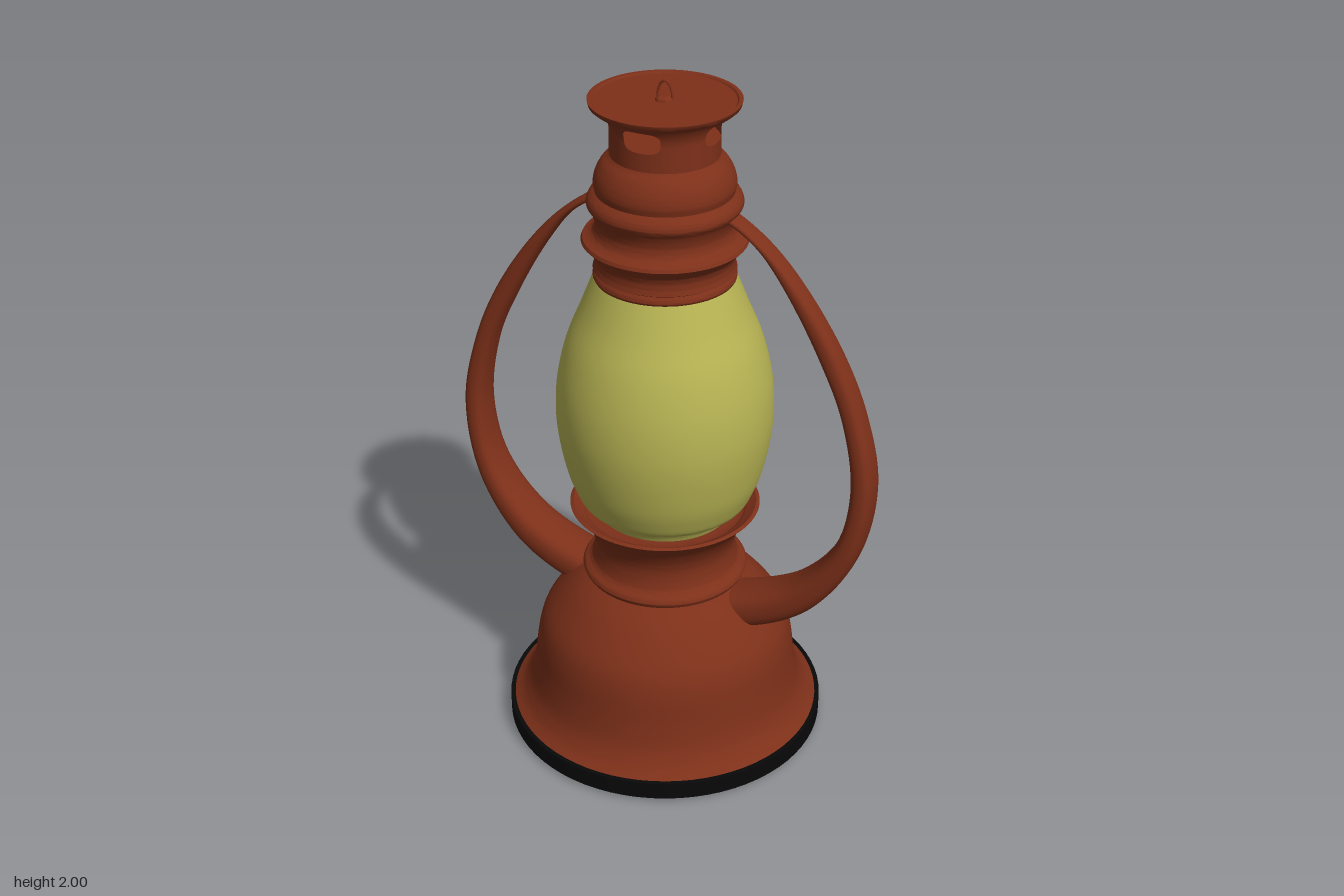
import * as THREE from 'three';
import { toCreasedNormals } from 'three/addons/utils/BufferGeometryUtils.js';
import { ParametricGeometry } from 'three/addons/geometries/ParametricGeometry.js';

const paint = (color) => new THREE.MeshStandardMaterial({ color, side: THREE.DoubleSide });

// Turned part: each run of [radius, y] points is a smooth curve, runs meet at sharp corners
function turned(name, material, ...runs) {
  const points = [];
  for (const run of runs) {
    const v = run.map(([r, y]) => new THREE.Vector2(r, y));
    const smooth = v.length > 2 ? new THREE.SplineCurve(v).getPoints((v.length - 1) * 5) : v;
    for (const p of smooth) {
      p.x = Math.max(p.x, 0);
      if (!points.length || points[points.length - 1].distanceTo(p) > 1e-5) points.push(p);
    }
  }
  const mesh = new THREE.Mesh(toCreasedNormals(new THREE.LatheGeometry(points, 72), 0.7), material);
  mesh.name = name;
  return mesh;
}

// Quarter of the vent neck: rings spread from a rounded hole out to the panel border
function ventPanel() {
  return new ParametricGeometry((u, v, target) => {
    const phi = v * Math.PI * 2;
    const c = Math.cos(phi), s = Math.sin(phi);
    const k = 1 / Math.max(Math.abs(c), Math.abs(s));
    const round = Math.pow(Math.abs(c) ** 3 + Math.abs(s) ** 3, -1 / 3);
    const angle = THREE.MathUtils.lerp(c * round * 0.36, c * k * Math.PI / 4, u);
    const y = 1.88 + THREE.MathUtils.lerp(s * round * 0.03, s * k * (s > 0 ? 0.042 : 0.085), u);
    const flare = Math.max(0, (y - 1.87) / 0.052);
    const r = 0.147 + 0.02 * flare * flare;
    target.set(Math.sin(angle) * r, y, Math.cos(angle) * r);
  }, 8, 64);
}

// Side handle: rounded section between an outer and an inner edge curve;
// the third value of each outer point is the half width
function handleGeometry() {
  const curve = (pts) => new THREE.CatmullRomCurve3(pts.map((p) => new THREE.Vector3(...p)));
  const outer = curve([
    [0.15, 1.675, 0.032], [0.21, 1.652, 0.03], [0.31, 1.58, 0.031], [0.41, 1.47, 0.034],
    [0.52, 1.3, 0.038], [0.59, 1.13, 0.045], [0.63, 0.92, 0.053], [0.587, 0.68, 0.062],
    [0.465, 0.495, 0.072], [0.32, 0.405, 0.078], [0.2, 0.38, 0.08],
  ]);
  const inner = curve([
    [0.15, 1.645, 0], [0.2, 1.632, 0], [0.275, 1.58, 0], [0.355, 1.475, 0],
    [0.455, 1.3, 0], [0.53, 1.13, 0], [0.566, 0.92, 0], [0.53, 0.73, 0],
    [0.41, 0.58, 0], [0.24, 0.498, 0], [0.14, 0.48, 0],
  ]);
  const soften = (x) => Math.sign(x) * Math.abs(x) ** 0.75;
  return new ParametricGeometry((u, v, target) => {
    const a = outer.getPoint(v), b = inner.getPoint(v);
    const c = soften(Math.cos(u * Math.PI * 2)), s = soften(Math.sin(u * Math.PI * 2));
    target.set((a.x + b.x + (a.x - b.x) * c) / 2, (a.y + b.y + (a.y - b.y) * c) / 2, a.z * s);
  }, 28, 80);
}

export function createModel() {
  const model = new THREE.Group();
  const rust = paint(0x7d3019), glass = paint(0xb8b454), black = paint(0x080808);

  // Foot and fuel tank
  model.add(turned('foot', black,
    [[0, 0], [0.3, 0]], [[0.3, 0], [0.3, 0.01]], [[0.3, 0.01], [0.465, 0.01]],
    [[0.465, 0.01], [0.465, 0.062]], [[0.465, 0.062], [0.42, 0.062]]));
  model.add(turned('tank', rust,
    [[0.452, 0.062], [0.425, 0.085], [0.4, 0.13], [0.385, 0.2], [0.373, 0.29], [0.352, 0.355],
      [0.305, 0.42], [0.255, 0.47], [0.2, 0.505]]));

  // Burner collar with a dished rim
  model.add(turned('burnerCollar', rust,
    [[0.2, 0.5], [0.232, 0.508]],
    [[0.232, 0.508], [0.238, 0.522], [0.23, 0.535], [0.213, 0.548], [0.203, 0.59], [0.207, 0.63],
      [0.228, 0.675], [0.255, 0.71], [0.272, 0.728]],
    [[0.272, 0.728], [0.262, 0.732]],
    [[0.262, 0.732], [0.235, 0.715], [0.2, 0.705], [0, 0.705]]));

  model.add(turned('globe', glass,
    [[0.19, 0.705], [0.205, 0.732], [0.237, 0.752], [0.257, 0.79], [0.278, 0.85], [0.298, 0.95],
      [0.305, 1.04], [0.298, 1.14], [0.272, 1.25], [0.232, 1.35], [0.195, 1.445]]));

  // Ribbed chimney
  model.add(turned('chimney', rust,
    [[0.17, 1.44], [0.19, 1.44]],
    [[0.19, 1.44], [0.196, 1.453], [0.187, 1.468]],
    [[0.187, 1.468], [0.195, 1.473]],
    [[0.195, 1.473], [0.19, 1.495], [0.195, 1.52], [0.212, 1.54], [0.226, 1.555]],
    [[0.226, 1.555], [0.222, 1.564]],
    [[0.222, 1.564], [0.197, 1.577], [0.188, 1.605], [0.197, 1.638], [0.21, 1.66], [0.204, 1.682],
      [0.187, 1.697]],
    [[0.187, 1.697], [0.191, 1.72], [0.184, 1.75], [0.168, 1.778], [0.15, 1.795]],
    [[0.15, 1.795], [0.147, 1.8]]));

  // Vent neck with four openings
  const vents = new THREE.Group();
  vents.name = 'ventNeck';
  const panel = ventPanel();
  for (let i = 0; i < 4; i++) {
    const mesh = new THREE.Mesh(panel, rust);
    mesh.name = 'ventPanel';
    mesh.rotation.y = i * Math.PI / 2;
    vents.add(mesh);
  }
  vents.add(turned('ventFloor', rust, [[0.146, 1.842], [0, 1.842]]));
  model.add(vents);

  // Cap: flared lip and flat lid
  model.add(turned('cap', rust,
    [[0, 1.918], [0.15, 1.918]],
    [[0.166, 1.92], [0.185, 1.926], [0.2, 1.938]],
    [[0.2, 1.938], [0.203, 1.95]], [[0.203, 1.95], [0.192, 1.95]],
    [[0.192, 1.95], [0.188, 1.945]], [[0.188, 1.945], [0, 1.945]]));

  // Hanging loop on its button
  model.add(turned('loopButton', rust, [[0.026, 1.945], [0.022, 1.953], [0.012, 1.957], [0, 1.958]]));
  const loopPath = new THREE.CatmullRomCurve3(
    [[-0.022, 1.945], [-0.019, 1.97], [-0.011, 1.99], [0, 1.997], [0.011, 1.99], [0.019, 1.97], [0.022, 1.945]]
      .map(([x, y]) => new THREE.Vector3(x, y, 0)));
  const loop = new THREE.Mesh(new THREE.TubeGeometry(loopPath, 32, 0.0035, 8), rust);
  loop.name = 'hangingLoop';
  model.add(loop);

  // Pair of side handles
  const handle = handleGeometry();
  for (const [name, turn] of [['leftHandle', 0], ['rightHandle', Math.PI]]) {
    const mesh = new THREE.Mesh(handle, rust);
    mesh.name = name;
    mesh.rotation.y = turn;
    model.add(mesh);
  }
  return model;
}
